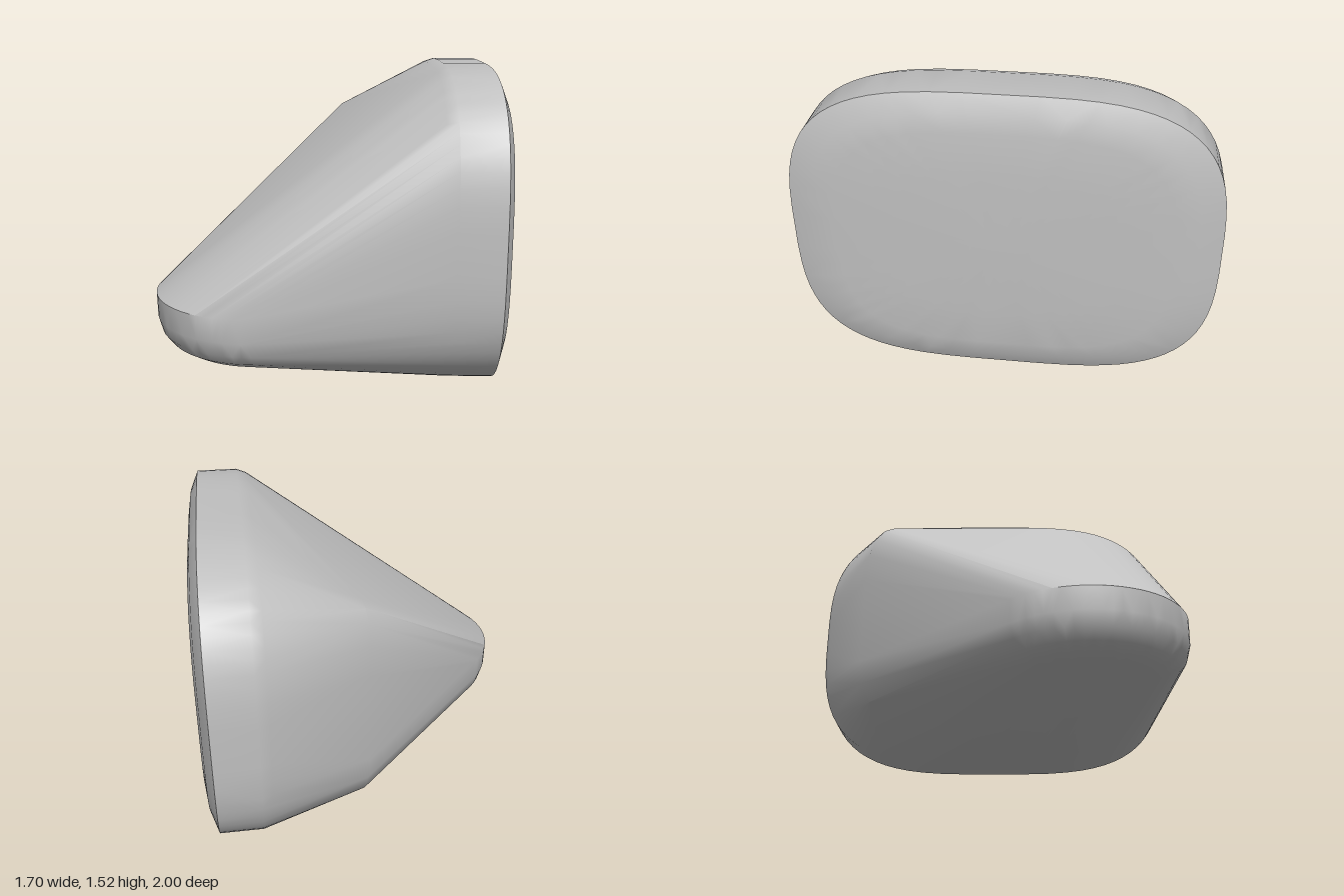
import * as THREE from 'three';
import { ConvexGeometry } from 'three/addons/geometries/ConvexGeometry.js';
import { toCreasedNormals } from 'three/addons/utils/BufferGeometryUtils.js';

const SEGMENTS = 72;

// Rounded-rectangle section of the wide end, in the plane x
function endRing(x, scale) {
  const pts = [];
  const soft = (v, n) => Math.sign(v) * Math.pow(Math.abs(v), 2 / n);
  for (let i = 0; i < SEGMENTS; i++) {
    const a = ((i + 0.5) / SEGMENTS) * Math.PI * 2;
    pts.push(new THREE.Vector3(x, 0.76 + 0.76 * scale * soft(Math.sin(a), 3.2), scale * soft(Math.cos(a), 3.5)));
  }
  return pts;
}

// Horizontal circle of the rounded nose
function noseRing(y, r) {
  const pts = [];
  for (let i = 0; i < SEGMENTS; i++) {
    const a = (i / SEGMENTS) * Math.PI * 2;
    pts.push(new THREE.Vector3(-0.34 + r * Math.cos(a), y, 0.43 + r * Math.sin(a)));
  }
  return pts;
}

export function createModel() {
  const group = new THREE.Group();
  group.name = 'taperedBlock';
  const grey = new THREE.MeshStandardMaterial({ color: 0xc0c0c0 });
  grey.name = 'light grey';

  const points = [];
  // Straight collar, bevel and slightly domed end face: [x, scale]
  const collar = [[0.52, 0.978], [0.57, 1], [0.78, 1], [0.82, 0.89], [0.835, 0.78], [0.845, 0.5], [0.85, 0.15]];
  for (const [x, s] of collar) points.push(...endRing(x, s));

  // Bowl-shaped nose with a sharp upper rim: [y, radius]
  const nose = [[0.435, 0.51], [0.32, 0.507], [0.25, 0.487], [0.2, 0.448], [0.165, 0.39], [0.142, 0.31], [0.135, 0.24]];
  for (const [y, r] of nose) points.push(...noseRing(y, r));

  // Rounded shoulder at the back, with its fold running down: [x, y, z]
  const shoulder = [
    [0.06, 1.235, -0.57], [0.045, 1.21, -0.62], [0.035, 1.15, -0.665], [0.035, 1.05, -0.695],
    [0.035, 0.9, -0.71], [0.035, 0.42, -0.71], [0.04, 0.3, -0.695], [0.05, 0.2, -0.65],
  ];
  for (const p of shoulder) points.push(new THREE.Vector3(...p));

  // The skin stretched over all the sections
  const body = new THREE.Mesh(toCreasedNormals(new ConvexGeometry(points), 0.6), grey);
  body.name = 'body';
  group.add(body);
  return group;
}
